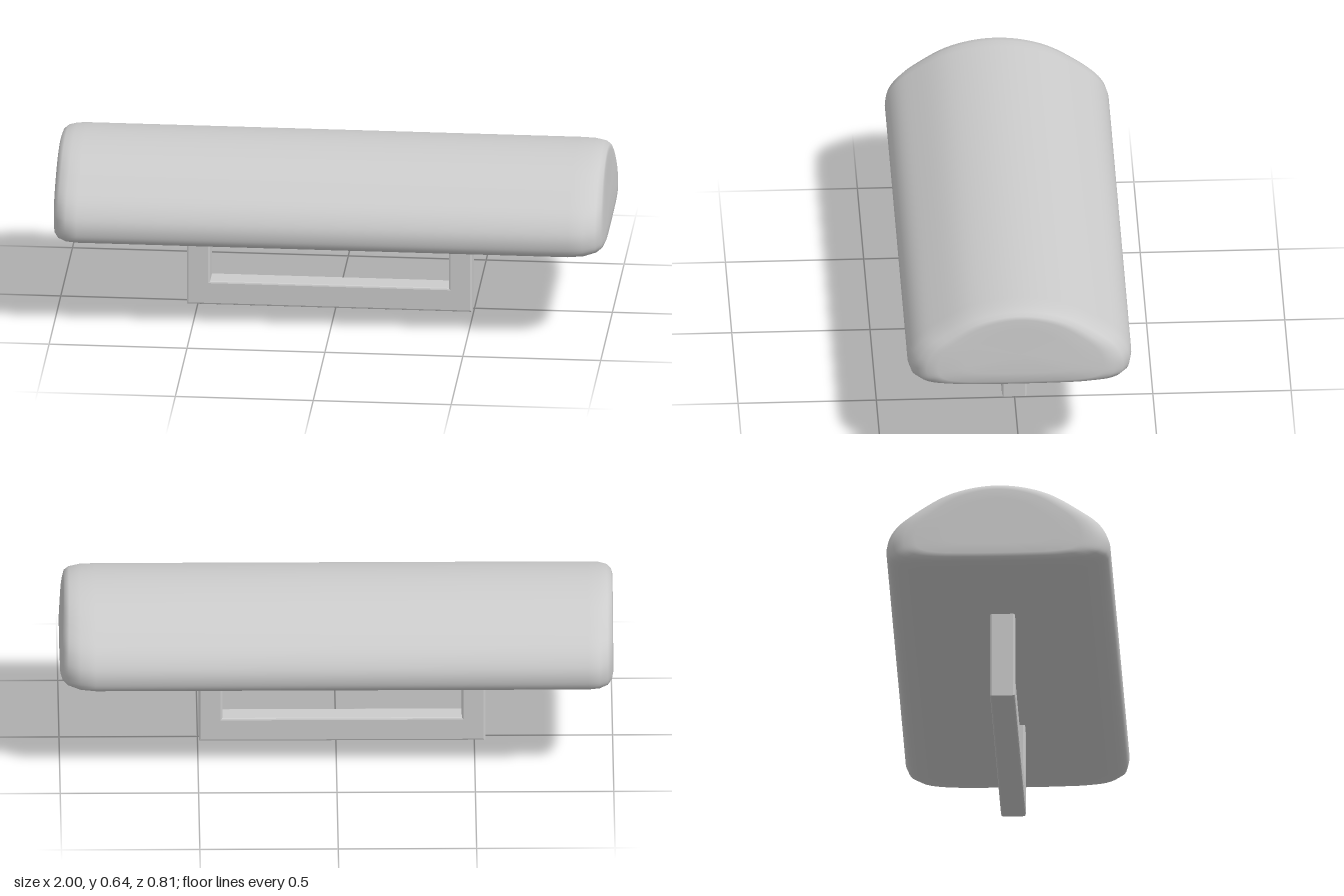
import * as THREE from 'three';

// Half outline of the domed pad as [z, y], from crown to underside
const HALF = [
  [0, 0.638], [0.1, 0.628], [0.2, 0.598], [0.3, 0.54], [0.365, 0.49], [0.398, 0.44],
  [0.405, 0.4], [0.395, 0.362], [0.36, 0.342], [0.28, 0.33], [0.15, 0.326], [0, 0.325],
];

// Stations along the pad: [x, z scale, bottom y, top y, x lean at the top]
const STATIONS = [
  [-1, 0.5, 0.39, 0.57, 0],
  [-1, 0.74, 0.355, 0.608, 0],
  [-0.995, 0.84, 0.342, 0.622, 0],
  [-0.98, 0.93, 0.333, 0.632, 0],
  [-0.95, 0.985, 0.327, 0.637, 0],
  [-0.91, 1, 0.325, 0.638, 0],
  [0, 1, 0.325, 0.638, 0],
  [0.87, 1, 0.325, 0.638, 0],
  [0.925, 0.98, 0.328, 0.637, 0],
  [0.97, 0.92, 0.337, 0.631, -0.006],
  [0.99, 0.84, 0.347, 0.622, -0.01],
  [0.998, 0.74, 0.36, 0.608, -0.014],
  [1, 0.5, 0.395, 0.57, -0.014],
];

function padGeometry() {
  const mirrored = HALF.slice(1, -1).reverse().map(([z, y]) => [-z, y]);
  const curve = new THREE.CatmullRomCurve3(
    [...HALF, ...mirrored].map(([z, y]) => new THREE.Vector3(0, y, z)), true);
  const n = 88;
  const ring = curve.getPoints(n).slice(0, n);
  const pos = [];
  const idx = [];
  for (const [x, zs, y0, y1, lean] of STATIONS) {
    for (const p of ring) {
      const t = (p.y - 0.325) / 0.313;
      pos.push(x + lean * t, y0 + (y1 - y0) * t, p.z * zs);
    }
  }
  for (let i = 0; i < STATIONS.length - 1; i++) {
    for (let j = 0; j < n; j++) {
      const k = (j + 1) % n;
      const a = i * n + j, b = i * n + k, c = a + n, d = b + n;
      idx.push(a, b, c, b, d, c);
    }
  }
  // Flat end caps
  const last = (STATIONS.length - 1) * n;
  const left = pos.length / 3;
  pos.push(-1, 0.47, 0, 0.994, 0.47, 0);
  for (let j = 0; j < n; j++) {
    const k = (j + 1) % n;
    idx.push(left, k, j, left + 1, last + j, last + k);
  }
  const g = new THREE.BufferGeometry();
  g.setAttribute('position', new THREE.Float32BufferAttribute(pos, 3));
  g.setIndex(idx);
  g.computeVertexNormals();
  return g;
}

// U-shaped handle outline, extruded with a fine bevel
function handleGeometry() {
  const b = 0.007;
  const pts = [
    [-0.54 + b, b], [0.495 - b, b], [0.495 - b, 0.345], [0.41 + b, 0.345],
    [0.41 + b, 0.09 - b], [-0.455 - b, 0.09 - b], [-0.455 - b, 0.345], [-0.54 + b, 0.345],
  ];
  const shape = new THREE.Shape(pts.map(([x, y]) => new THREE.Vector2(x, y)));
  const depth = 0.09 - 2 * b;
  const g = new THREE.ExtrudeGeometry(shape, {
    depth, bevelEnabled: true, bevelSize: b, bevelThickness: b, bevelSegments: 2,
  });
  return g.translate(0, 0, -depth / 2);
}

export function createModel() {
  const group = new THREE.Group();
  const material = new THREE.MeshStandardMaterial({ color: 0xcccccc });
  const add = (name, geometry) => {
    const mesh = new THREE.Mesh(geometry, material);
    mesh.name = name;
    group.add(mesh);
  };
  add('domedPad', padGeometry());
  add('handle', handleGeometry());
  return group;
}
